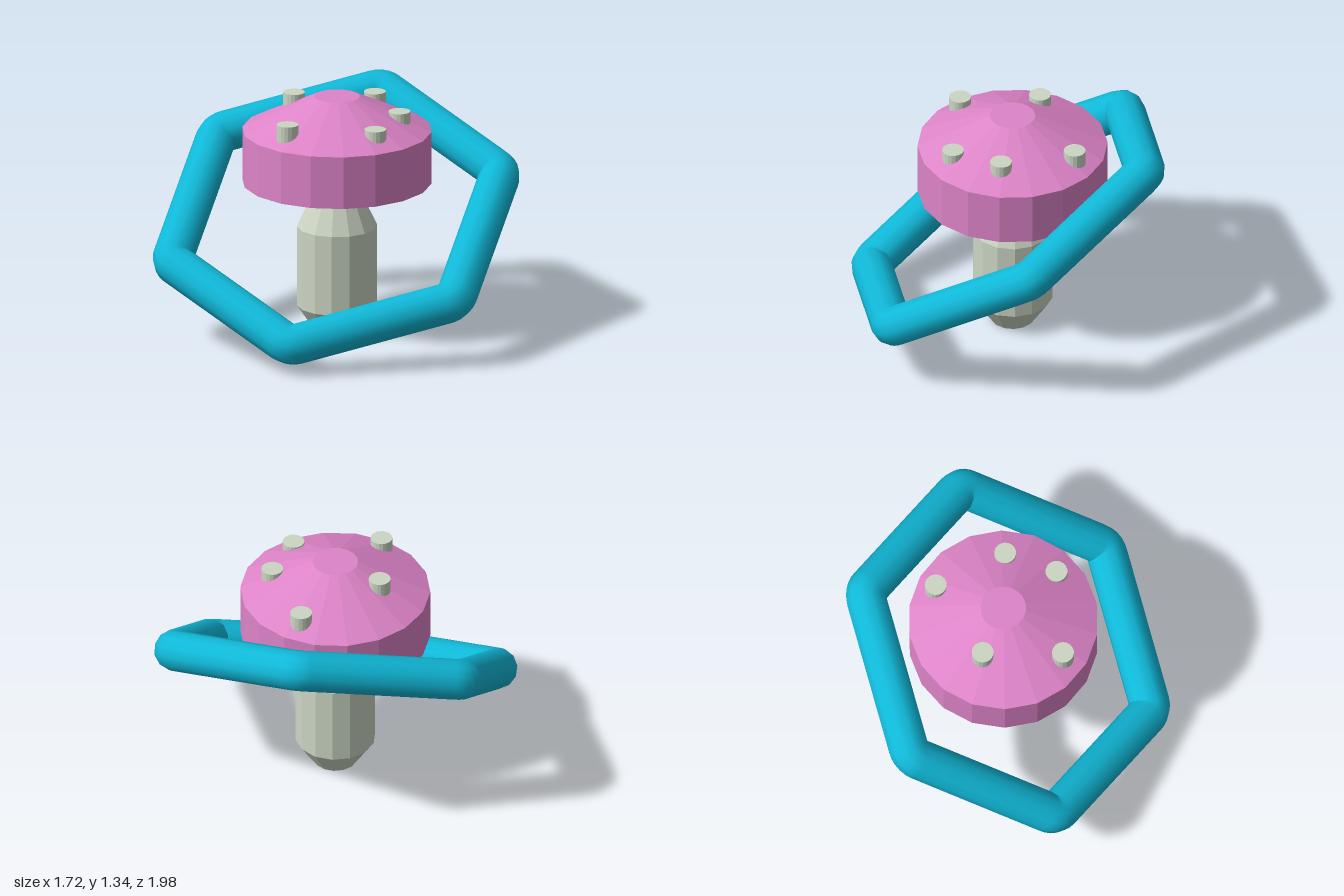
import * as THREE from 'three';

const paint = (color, flatShading = true) => new THREE.MeshStandardMaterial({ color, flatShading });

// Faceted solid of revolution from [radius, height] pairs, listed bottom to top
function turned(name, profile, sides, material) {
  const points = profile.map(([r, y]) => new THREE.Vector2(r, y));
  const mesh = new THREE.Mesh(new THREE.LatheGeometry(points, sides), material);
  mesh.name = name;
  mesh.position.set(0.02, 0, -0.015);
  return mesh;
}

// Closed path through the corners, each one slightly rounded
function roundedLoop(corners, cut) {
  const path = new THREE.CurvePath();
  const n = corners.length;
  const toward = (a, b) => b.clone().sub(a).setLength(cut).add(a);
  corners.forEach((corner, i) => {
    const prev = corners[(i + n - 1) % n];
    const next = corners[(i + 1) % n];
    const leave = toward(corner, next);
    path.add(new THREE.QuadraticBezierCurve3(toward(corner, prev), corner, leave));
    path.add(new THREE.LineCurve3(leave, toward(next, corner)));
  });
  return path;
}

export function createModel() {
  const model = new THREE.Group();
  const pale = paint(0xccd6c4);

  // Stem with tapered ends
  model.add(turned('stem',
    [[0, 0], [0.12, 0], [0.22, 0.15], [0.22, 0.6], [0.13, 0.79], [0, 0.79]], 14, pale));

  // Cap with a flat crown
  model.add(turned('cap',
    [[0, 0.78], [0.13, 0.78], [0.52, 0.855], [0.52, 1.15], [0.125, 1.34], [0, 1.34]],
    18, paint(0xdd84c8)));

  // Studs on the sloping top: x, z and top height
  const studs = new THREE.Group();
  studs.name = 'studs';
  const studGeometry = new THREE.CylinderGeometry(0.06, 0.06, 0.14, 18);
  [[-0.05, -0.28, 1.32], [0.41, -0.12, 1.26], [-0.38, 0.01, 1.27],
    [0.23, 0.26, 1.27], [-0.05, 0.36, 1.25]].forEach(([x, z, top], i) => {
    const stud = new THREE.Mesh(studGeometry, pale);
    stud.name = `stud${i + 1}`;
    stud.position.set(x, top - 0.07, z);
    studs.add(stud);
  });
  model.add(studs);

  // Tilted hexagonal ring: opposite corners mirror through its centre
  const b = new THREE.Vector3(0.71, 0.5, -0.37);
  const c = new THREE.Vector3(0.75, 0.21, 0.52);
  const a = b.clone().sub(c);
  const half = [a, b, c];
  const corners = [...half, ...half.map((v) => v.clone().negate())];
  const ring = new THREE.Mesh(
    new THREE.TubeGeometry(roundedLoop(corners, 0.05), 300, 0.112, 12, true),
    paint(0x10b8d8, false));
  ring.name = 'hexagonRing';
  ring.position.y = 0.655;
  model.add(ring);

  return model;
}
